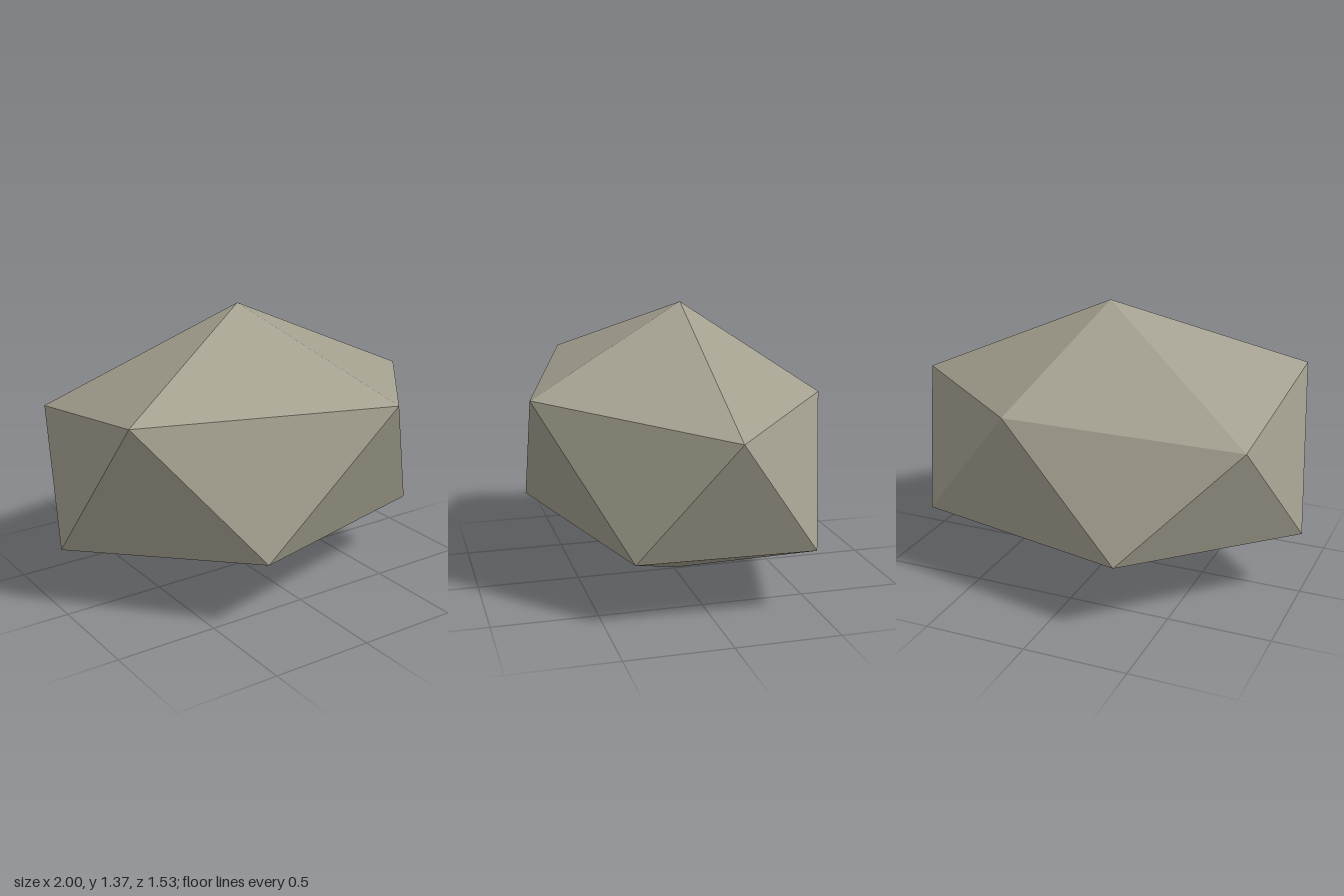
import * as THREE from 'three';

// Low-poly boulder: two staggered five-point rings closed by a top and a bottom point
export function createModel() {
  const stone = new THREE.MeshStandardMaterial({ color: 0xa39f8f });
  stone.name = 'stone';

  const peak = [-0.01, 1.37, -0.03];
  const base = [-0.01, 0, -0.03];
  // Rings run from +x towards +z
  const upper = [[1, 0.91, -0.03], [0.34, 1.0, 0.765], [-0.87, 1.03, 0.43], [-0.84, 0.88, -0.48], [0.26, 0.945, -0.655]];
  const lower = [[0.75, 0.325, 0.38], [-0.335, 0.36, 0.705], [-1, 0.325, -0.03], [-0.335, 0.36, -0.765], [0.78, 0.325, -0.46]];

  const corners = [];
  for (let i = 0; i < 5; i++) {
    const j = (i + 1) % 5;
    corners.push(
      peak, upper[j], upper[i],
      upper[i], upper[j], lower[i],
      lower[i], upper[j], lower[j],
      base, lower[i], lower[j]
    );
  }

  // Unshared corners give each facet its own flat normal
  const geometry = new THREE.BufferGeometry();
  geometry.setAttribute('position', new THREE.Float32BufferAttribute(corners.flat(), 3));
  geometry.computeVertexNormals();

  const boulder = new THREE.Mesh(geometry, stone);
  boulder.name = 'boulder';
  const model = new THREE.Group();
  model.name = 'rock';
  model.add(boulder);
  return model;
}
